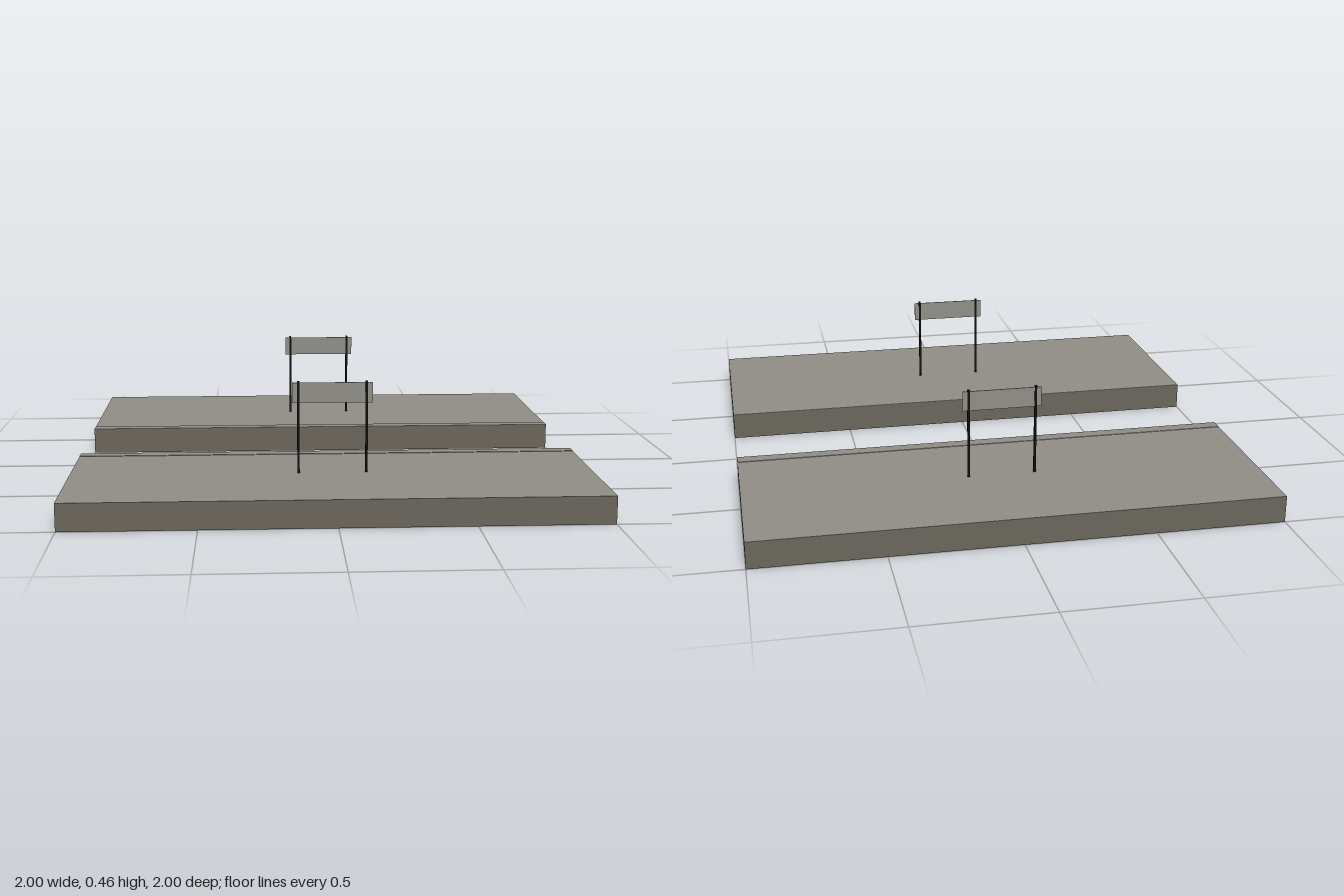
import * as THREE from 'three';

export function createModel() {
  const model = new THREE.Group();
  const mat = (name, color, side = THREE.FrontSide) => {
    const m = new THREE.MeshStandardMaterial({ color, side });
    m.name = name;
    return m;
  };
  const paving = mat('paving grey', 0x8e8c84, THREE.DoubleSide);
  const wall = mat('wall stone', 0x6a665c, THREE.DoubleSide);
  const board = mat('board grey', 0x8f8e87);
  const black = mat('post black', 0x101010);

  const HEIGHT = 0.105, INNER = 0.237, OUTER = 1;
  const DEPTH = OUTER - INNER, SIGN_Z = 0.594;

  const box = (parent, name, size, pos, material) => {
    const mesh = new THREE.Mesh(new THREE.BoxGeometry(...size), material);
    mesh.name = name;
    mesh.position.set(...pos);
    parent.add(mesh);
    return mesh;
  };

  for (const side of [1, -1]) {
    const platform = new THREE.Group();
    platform.name = side > 0 ? 'frontPlatform' : 'backPlatform';
    model.add(platform);

    // Hollow slab: paved top, stone walls, open underneath
    const slab = box(platform, 'platformSlab', [2, HEIGHT, DEPTH],
      [0, HEIGHT / 2, side * (INNER + DEPTH / 2)],
      [wall, wall, paving, wall, wall, wall]);
    slab.geometry.groups = slab.geometry.groups.filter(g => g.materialIndex !== 3);

    // Edging strip along the track side
    box(platform, 'platformEdge', [2, 0.002, 0.05],
      [0, HEIGHT + 0.001, side * (INNER + 0.025)], paving);

    // Sign board carried by two slim posts
    const sign = new THREE.Group();
    sign.name = 'stationSign';
    sign.position.set(0, 0, side * SIGN_Z);
    platform.add(sign);
    box(sign, 'signBoard', [0.306, 0.078, 0.004], [0, 0.415, 0], board);
    for (const x of [-0.13, 0.13]) {
      box(sign, 'signPost', [0.009, 0.355, 0.009], [x, HEIGHT + 0.1775, 0], black);
    }
  }
  return model;
}
